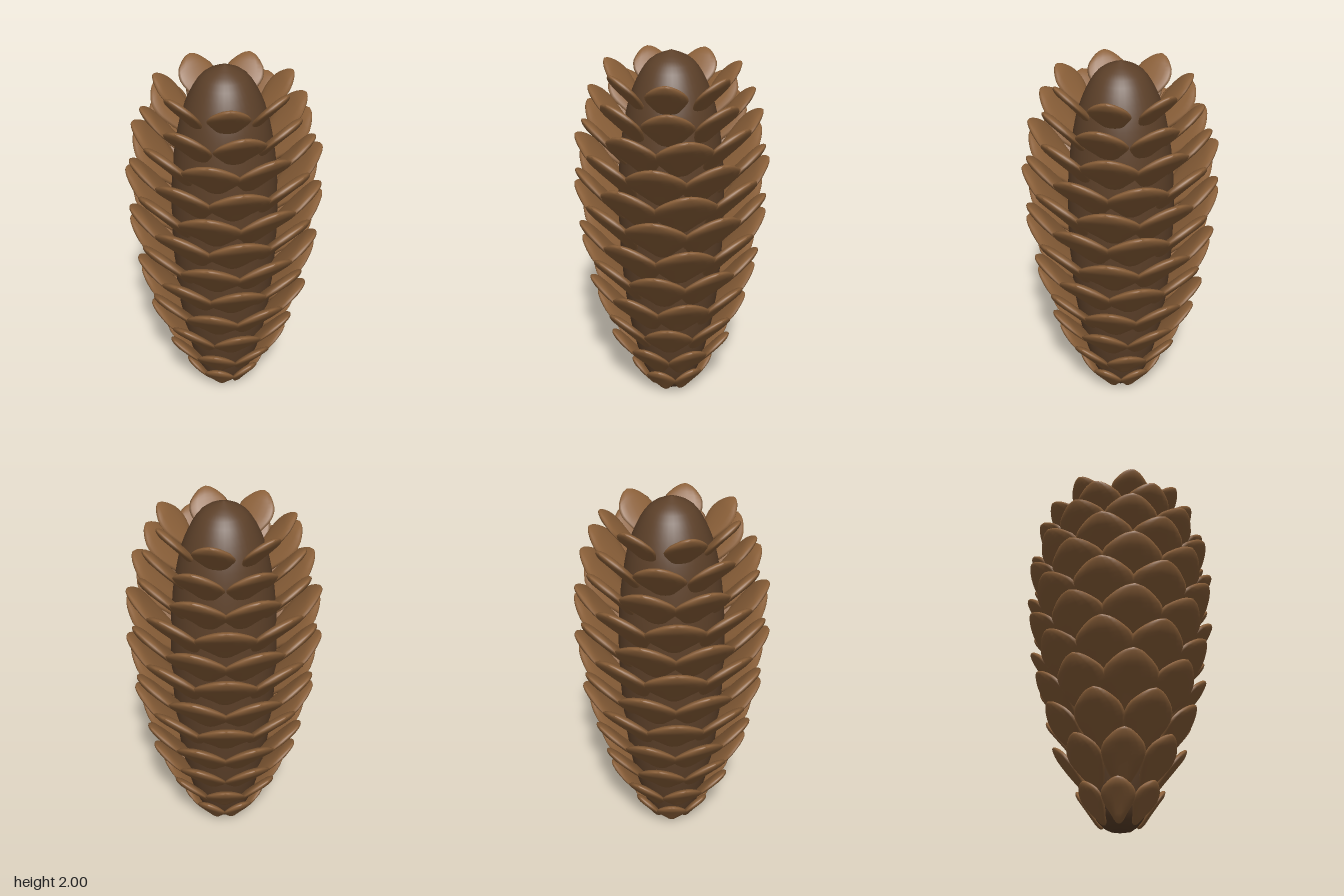
import * as THREE from 'three';

// Unit scale: base at the origin, tip at y = 1, half-width 1 in x, half-thickness 1 in z
function makeScaleGeometry() {
  const widths = new THREE.CatmullRomCurve3(
    [[0, 0.0], [0.04, 0.2], [0.2, 0.46], [0.4, 0.8], [0.58, 1], [0.72, 0.95], [0.86, 0.66], [0.96, 0.32], [1, 0]]
      .map(([t, w]) => new THREE.Vector3(w, t, 0)));
  const rings = 18, sides = 14, positions = [], index = [];
  for (let i = 0; i <= rings; i++) {
    const p = widths.getPoint(i / rings);
    const thick = Math.min(1, Math.sqrt(Math.max(0, 1 - p.y) * 7), Math.sqrt(p.y * 8));
    for (let j = 0; j < sides; j++) {
      const a = (j / sides) * Math.PI * 2;
      positions.push(p.x * Math.cos(a), p.y, thick * Math.sin(a) + 0.7 * (p.y * p.y - p.y));
      if (i < rings) {
        const b = i * sides + j, c = i * sides + (j + 1) % sides;
        index.push(b, b + sides, c, c, b + sides, c + sides);
      }
    }
  }
  const geometry = new THREE.BufferGeometry();
  geometry.setAttribute('position', new THREE.Float32BufferAttribute(positions, 3));
  geometry.setIndex(index);
  geometry.computeVertexNormals();
  return geometry;
}

export function createModel() {
  const cone = new THREE.Group();
  cone.name = 'pineCone';
  const coreMaterial = new THREE.MeshStandardMaterial({ color: 0x5c4029 });
  const scaleMaterial = new THREE.MeshStandardMaterial({ color: 0x8b6039 });

  // Egg-shaped core
  const profile = new THREE.SplineCurve(
    [[0, 0], [0.07, 0.015], [0.13, 0.08], [0.18, 0.22], [0.23, 0.45], [0.265, 0.75], [0.28, 1.1],
      [0.27, 1.4], [0.24, 1.63], [0.195, 1.8], [0.115, 1.94], [0, 2]].map(([x, y]) => new THREE.Vector2(x, y)));
  const points = profile.getPoints(44).map((p) => new THREE.Vector2(Math.max(0, p.x), THREE.MathUtils.clamp(p.y, 0, 2)));
  const core = new THREE.Mesh(new THREE.LatheGeometry(points, 40), coreMaterial);
  core.name = 'core';
  cone.add(core);

  // Rows of scales: count, turn (degrees), base radius, base height, tip radius, tip height, half-width
  const rows = [
    [7, 0, 0.09, 0.02, 0.23, 0.22, 0.085],
    [8, 0, 0.13, 0.16, 0.345, 0.43, 0.11],
    [8, 22.5, 0.16, 0.32, 0.41, 0.62, 0.13],
    [9, 0, 0.19, 0.48, 0.455, 0.80, 0.145],
    [9, 20, 0.21, 0.65, 0.48, 0.97, 0.155],
    [9, 0, 0.23, 0.81, 0.5, 1.13, 0.163],
    [9, 20, 0.24, 0.97, 0.508, 1.29, 0.167],
    [9, 0, 0.24, 1.11, 0.508, 1.43, 0.165],
    [9, 20, 0.235, 1.26, 0.495, 1.56, 0.158],
    [9, 0, 0.22, 1.41, 0.465, 1.69, 0.148],
    [8, 22.5, 0.19, 1.55, 0.42, 1.81, 0.13],
    [7, 14, 0.15, 1.69, 0.355, 1.925, 0.105],
  ];
  const scaleGeometry = makeScaleGeometry();
  rows.forEach(([count, turn, r0, y0, r1, y1, halfWidth], row) => {
    const ring = new THREE.Group();
    ring.name = `scaleRow${row + 1}`;
    for (let i = 0; i < count; i++) {
      const pivot = new THREE.Group();
      pivot.name = 'scalePivot';
      pivot.rotation.y = THREE.MathUtils.degToRad(turn) + (i / count) * Math.PI * 2;
      const scale = new THREE.Mesh(scaleGeometry, scaleMaterial);
      scale.name = 'scale';
      scale.position.set(0, y0, r0);
      scale.rotation.x = Math.atan2(r1 - r0, y1 - y0);
      scale.scale.set(halfWidth, Math.hypot(r1 - r0, y1 - y0), 0.012 + halfWidth * 0.08);
      pivot.add(scale);
      ring.add(pivot);
    }
    cone.add(ring);
  });
  return cone;
}
